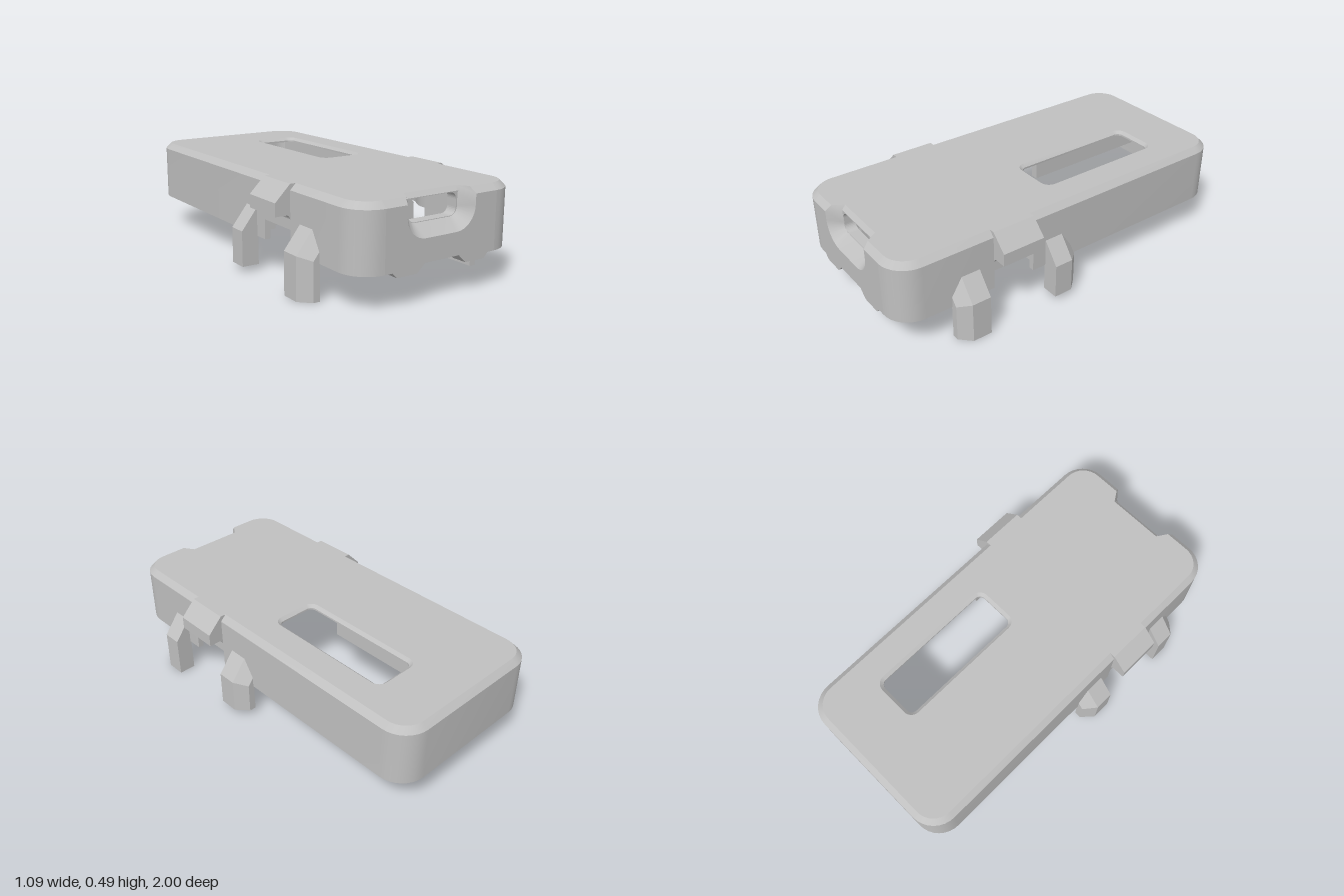
import * as THREE from 'three';
import { toCreasedNormals } from 'three/addons/utils/BufferGeometryUtils.js';

const TOP = 0.49, EDGE = 0.46, ROOF = 0.466, BASE = 0.175;

// Rounded rectangle as [x, y, normalX, normalY] points, counter-clockwise from the first corner
function roundRect(x0, x1, y0, y1, r, n = 8) {
  const pts = [];
  [[x1 - r, y1 - r], [x0 + r, y1 - r], [x0 + r, y0 + r], [x1 - r, y0 + r]].forEach(([cx, cy], q) => {
    for (let i = 0; i <= n; i++) {
      const a = (q + i / n) * Math.PI / 2, c = Math.cos(a), s = Math.sin(a);
      pts.push([cx + r * c, cy + r * s, c, s]);
    }
  });
  return pts;
}

const poly = (pts, C = THREE.Shape) => new C(pts.map(p => new THREE.Vector2(p[0], p[1])));

// Surface through a list of cross-section rings
function loft(rings, closedRing = false) {
  const n = rings[0].length, pos = [], idx = [];
  rings.forEach(r => r.forEach(p => pos.push(...p)));
  for (let i = 0; i < rings.length - 1; i++) {
    for (let j = 0; j < (closedRing ? n : n - 1); j++) {
      const a = i * n + j, b = i * n + (j + 1) % n;
      idx.push(a, b, b + n, a, b + n, a + n);
    }
  }
  const g = new THREE.BufferGeometry();
  g.setAttribute('position', new THREE.Float32BufferAttribute(pos, 3));
  g.setIndex(idx);
  return toCreasedNormals(g, 0.5);
}

function extrudeZ(shape, z0, z1) {
  return new THREE.ExtrudeGeometry(shape, { depth: z1 - z0, bevelEnabled: false, curveSegments: 8 }).translate(0, 0, z0);
}

// Pointed leg with one chamfered corner; a = square side, b = chamfer start, c = chamfer end
function legGeometry(foot, a, b, c) {
  const p = [[0.455, a, 0.325], [0.545, a, 0.21], [0.545, b, 0.21], [0.49, c, 0.19], [0.455, c, 0.235], [0.455, b, 0.325]];
  const pos = [];
  p.forEach(([x, z]) => pos.push(x, foot, z));
  p.forEach(([x, z, y]) => pos.push(x, y, z));
  const idx = [];
  for (let i = 0; i < 6; i++) {
    const j = (i + 1) % 6;
    idx.push(i, i + 6, j + 6, i, j + 6, j);
  }
  for (let i = 1; i < 5; i++) idx.push(0, i, i + 1);
  idx.push(6, 8, 7, 6, 11, 8, 11, 9, 8, 11, 10, 9);
  const g = new THREE.BufferGeometry();
  g.setAttribute('position', new THREE.Float32BufferAttribute(pos, 3));
  g.setIndex(idx);
  return toCreasedNormals(g, 0.2);
}

export function createModel() {
  const model = new THREE.Group();
  const grey = new THREE.MeshStandardMaterial({ color: 0xc0c0c0, side: THREE.DoubleSide });
  grey.name = 'plain grey';
  const add = (name, geometry, parent = model) => {
    const m = new THREE.Mesh(geometry, grey);
    m.name = name;
    parent.add(m);
  };
  const box = (name, parent, x0, x1, y0, y1, z0, z1) =>
    add(name, new THREE.BoxGeometry(x1 - x0, y1 - y0, z1 - z0).translate((x0 + x1) / 2, (y0 + y1) / 2, (z0 + z1) / 2), parent);

  // Side and back wall: one section swept from the left front corner round to the right
  const outline = roundRect(-0.46, 0.46, -1, 1, 0.14);
  const n = 9;
  const notch = (s, zs) => zs.map(([z, y]) => [0.46 * s, z, s, 0, y]);
  const steps = [[0.485, BASE], [0.485, 0.275], [0.255, 0.275], [0.255, BASE]];
  const path = [
    ...outline.slice(0, n).reverse(),
    ...notch(1, steps),
    ...outline.slice(n * 3).reverse(),
    ...outline.slice(n * 2, n * 3).reverse(),
    ...notch(-1, steps.slice().reverse()),
    ...outline.slice(n, n * 2).reverse(),
  ];
  const wallRings = path.map(([x, z, nx, nz, low = BASE]) => {
    const lip = Math.max(low, 0.22);
    return [[0, low], [0, EDGE], [0.03, TOP], [0.06, ROOF], [0.06, lip], [0.03, lip], [0.03, low]]
      .map(([inset, y]) => [x - nx * inset, y, z - nz * inset]);
  });
  add('sideWall', loft(wallRings, true));

  // Roof with the long window and the front port cut-out
  const slot = roundRect(0.03, 0.29, -0.685, 0.04, 0.05);
  const inset = (pts, d, y) => pts.map(([x, z, nx, nz]) => [x - nx * d, y, z - nz * d]);
  const topEdge = outline.map(([x, z, nx, nz]) => [x - nx * 0.03, z - nz * 0.03]);
  const portEdge = [[0.178, 0.97], [0.143, 0.915], [-0.157, 0.915], [-0.192, 0.97]];
  const topShape = poly([...topEdge.slice(0, n), ...portEdge, ...topEdge.slice(n)]);
  topShape.holes.push(poly(slot, THREE.Path));
  add('roofTop', new THREE.ShapeGeometry(topShape).rotateX(Math.PI / 2).translate(0, TOP, 0));
  const underShape = poly(roundRect(-0.41, 0.41, -0.95, 0.9, 0.09));
  underShape.holes.push(poly(inset(slot, 0.017, 0).map(p => [p[0], p[2]]), THREE.Path));
  add('roofUnderside', new THREE.ShapeGeometry(underShape).rotateX(Math.PI / 2).translate(0, ROOF, 0));
  add('windowEdge', loft([inset(slot, 0, TOP), inset(slot, 0.017, 0.475), inset(slot, 0.017, ROOF)], true));

  // U outline of the port recess, from left top round to right top
  const cx = -0.007;
  const uShape = (half, low, r) => {
    const arc = (sign, from) => Array.from({ length: 9 }, (_, i) => {
      const a = (from + i / 8) * Math.PI / 2;
      return [cx + sign * (half - r) + r * Math.cos(a), low + r + r * Math.sin(a)];
    });
    return [...arc(-1, 2), ...arc(1, 3)];
  };
  const outerU = uShape(0.198, 0.3, 0.11), innerU = uShape(0.146, 0.355, 0.045);

  // Front wall with the recess and a shallow cut between the bottom tabs
  add('frontWall', extrudeZ(poly([
    [-0.32, EDGE], [-0.32, BASE], [-0.115, BASE], [-0.1, 0.19], [0.1, 0.19], [0.115, BASE],
    [0.32, BASE], [0.32, EDGE], [cx + 0.198, EDGE], ...outerU.slice().reverse(), [cx - 0.198, EDGE],
  ]), 0.89, 1));
  for (const s of [-1, 1]) {
    const e = cx + s * 0.198, t = cx + s * 0.185;
    add('frontBevel', loft([[[s * 0.32, EDGE, 1], [e, EDGE, 1]], [[s * 0.32, TOP, 0.97], [t, TOP, 0.97]]]));
  }
  const rim = [[cx - 0.185, TOP, 0.97], [cx - 0.198, EDGE, 1], ...outerU.map(p => [...p, 1]),
    [cx + 0.198, EDGE, 1], [cx + 0.185, TOP, 0.97]];
  const throat = [[cx - 0.15, TOP, 0.915], [cx - 0.146, EDGE, 0.935], ...innerU.map(p => [...p, 0.935]),
    [cx + 0.146, EDGE, 0.935], [cx + 0.15, TOP, 0.915]];
  add('portFunnel', loft([rim, throat]));
  const plate = poly([[-0.21, 0.295], [0.2, 0.295], [0.2, 0.468], [-0.21, 0.468]]);
  plate.holes.push(poly(roundRect(-0.146, 0.132, 0.358, 0.465, 0.035), THREE.Path));
  add('portPlate', extrudeZ(plate, 0.88, 0.935));
  // Sloped face above the port
  add('portLintel', loft([[[-0.157, TOP, 0.915], [0.143, TOP, 0.915]], [[-0.153, 0.468, 0.935], [0.139, 0.468, 0.935]]]));

  // Tabs under the front wall
  for (const s of [-1, 1]) {
    add('bottomTab', extrudeZ(poly([[s * 0.285, 0.18], [s * 0.255, 0.15], [s * 0.142, 0.15], [s * 0.1, 0.19], [s * 0.285, 0.19]]), 0.92, 1.0));
  }

  // Clip profile, and the plan of the inner block that curves away towards the notch
  const clip = poly([[0.42, TOP], [0.46, TOP], [0.54, 0.41], [0.54, 0.345], [0.48, 0.345]]);
  clip.quadraticCurveTo(0.466, 0.343, 0.46, 0.325);
  clip.lineTo(0.42, 0.325);
  const blockPlan = poly([[0.41, 0.2], [0.41, 0.9], [0.32, 0.9], [0.32, 0.52]]);
  blockPlan.bezierCurveTo(0.32, 0.42, 0.385, 0.42, 0.385, 0.32);
  blockPlan.lineTo(0.385, 0.2);
  const block = toCreasedNormals(extrudeZ(blockPlan, 0, ROOF - 0.28).rotateX(Math.PI / 2).translate(0, ROOF, 0), 0.5);

  // Clips, legs and inner blocks, mirrored left and right
  for (const s of [1, -1]) {
    const side = new THREE.Group();
    side.name = s > 0 ? 'leftFittings' : 'rightFittings';
    side.scale.x = s;
    model.add(side);
    add('clip', extrudeZ(clip, 0.255, 0.485), side);
    add('frontLeg', legGeometry(0, 0.565, 0.665, 0.72), side);
    add('backLeg', legGeometry(0.03, 0.18, 0.08, 0.02), side);
    add('curvedBlock', block, side);
    box('frontBlock', side, 0.32, 0.41, 0.22, 0.28, 0.52, 0.9);
    box('screwBoss', side, 0.345, 0.41, 0.22, ROOF, 0.05, 0.2);
    box('sideLedge', side, 0.37, 0.41, 0.22, ROOF, -0.9, 0.05);
  }
  box('centreRib', model, -0.04, 0, 0.35, ROOF, -0.95, -0.12);
  return model;
}
